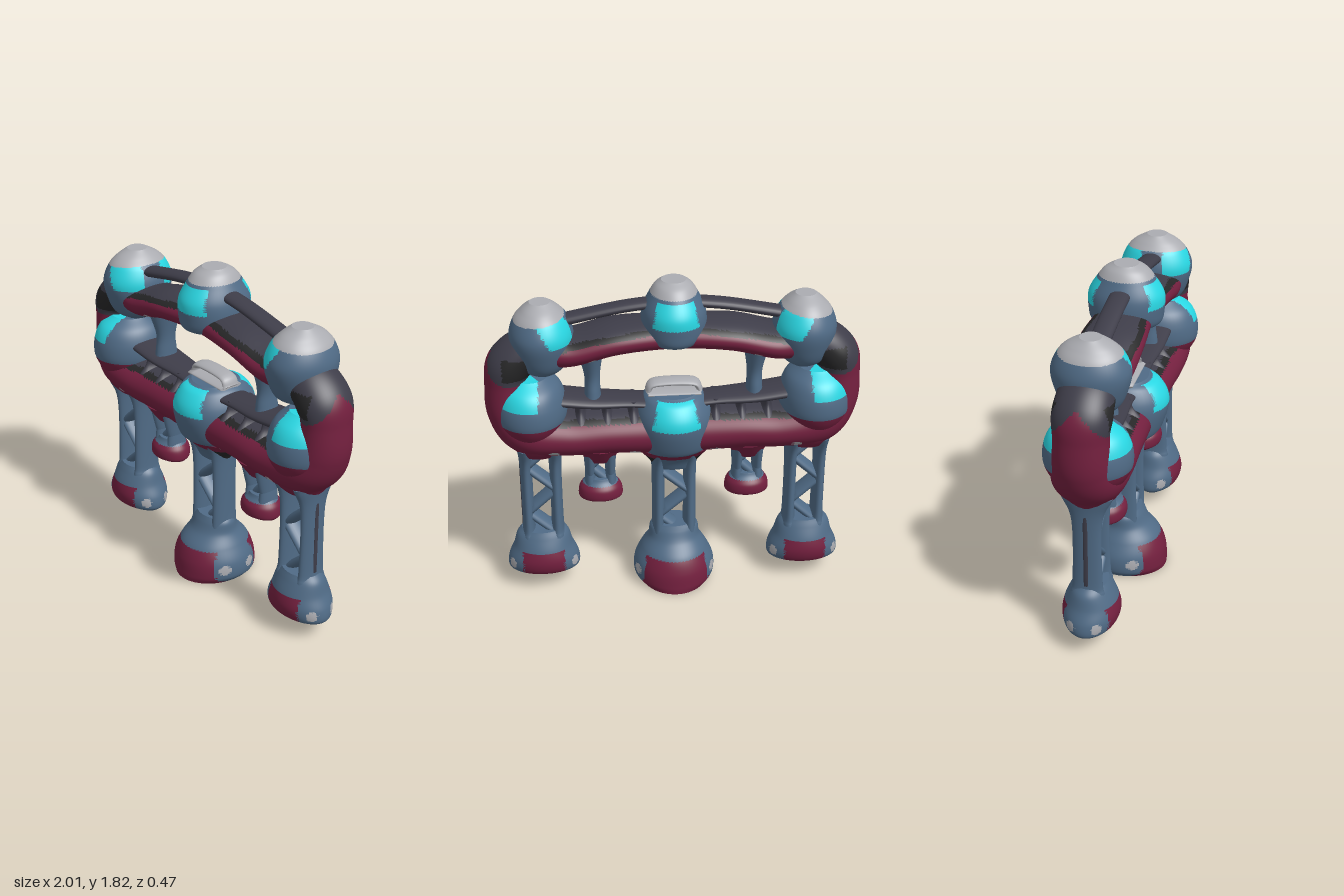
import * as THREE from 'three';

const mat = (name, color) => {
  const m = new THREE.MeshStandardMaterial({ color });
  m.name = name;
  return m;
};
const red = mat('maroon', 0x74203f), blue = mat('slateBlue', 0x506b86), cyan = mat('cyan', 0x29d6e2);
const pale = mat('paleGrey', 0xabacb1), dark = mat('charcoal', 0x3e3d49), black = mat('black', 0x272728);
const palette = [red, blue, cyan, pale, dark, black];

// Sweeps an ellipse along a path in the xy plane. Each point is [x, y, half width, half depth].
// paint is one material, or a rule (x, y, z) => material applied to each face.
function sweep(parent, name, pts, paint, { closed = false, steps = 6, cols = 24 } = {}) {
  const curve = (f) => new THREE.CatmullRomCurve3(pts.map(f), closed, 'catmullrom', 0.5);
  const path = curve((p) => new THREE.Vector3(p[0], p[1], 0));
  const size = curve((p) => new THREE.Vector3(p[2], p[3], 0));
  const rows = (closed ? pts.length : pts.length - 1) * steps;
  const count = closed ? rows : rows + 1;
  const pos = [], index = [];
  for (let i = 0; i < count; i++) {
    const c = path.getPoint(i / rows), t = path.getTangent(i / rows), s = size.getPoint(i / rows);
    for (let j = 0; j < cols; j++) {
      const a = (j / cols) * Math.PI * 2, w = Math.cos(a) * s.x;
      pos.push(c.x + t.y * w, c.y - t.x * w, -Math.sin(a) * s.y);
    }
  }
  for (let i = 0; i < rows; i++) {
    const k = i * cols, n = ((i + 1) % count) * cols;
    for (let j = 0; j < cols; j++) {
      const j2 = (j + 1) % cols;
      index.push(k + j, k + j2, n + j2, k + j, n + j2, n + j);
    }
  }
  // flat end caps
  if (!closed) for (const [row, p] of [[0, pts[0]], [rows, pts[pts.length - 1]]]) {
    const base = pos.length / 3;
    pos.push(...pos.slice(row * cols * 3, (row + 1) * cols * 3), p[0], p[1], 0);
    for (let j = 0; j < cols; j++) {
      const a = base + j, b = base + ((j + 1) % cols);
      index.push(base + cols, ...(row ? [a, b] : [b, a]));
    }
  }
  const geo = new THREE.BufferGeometry();
  geo.setAttribute('position', new THREE.Float32BufferAttribute(pos, 3));
  let material = paint;
  if (typeof paint === 'function') {
    const bins = palette.map(() => []);
    for (let f = 0; f < index.length; f += 3) {
      const tri = index.slice(f, f + 3);
      const mid = (k) => tri.reduce((sum, v) => sum + pos[v * 3 + k], 0) / 3;
      bins[palette.indexOf(paint(mid(0), mid(1), mid(2)))].push(...tri);
    }
    geo.setIndex(bins.flat());
    let start = 0;
    bins.forEach((b, k) => {
      if (b.length) geo.addGroup(start, b.length, k);
      start += b.length;
    });
    material = palette;
  } else geo.setIndex(index);
  geo.computeVertexNormals();
  const mesh = new THREE.Mesh(geo, material);
  mesh.name = name;
  parent.add(mesh);
}

// Upright body from [y, half width, half depth] levels
const stack = (parent, name, x, levels, paint, opt) =>
  sweep(parent, name, levels.map(([y, w, d]) => [x, y, w, d]), paint, opt);

// Two columns with zigzag bracing
function leg(parent, x, y0, y1, half, bays, r, depth) {
  for (const s of [-1, 1]) {
    stack(parent, 'legColumn', x + s * half,
      [[y0, r * 1.3, depth * 1.15], [y0 + 0.08, r, depth], [y1 - 0.15, r, depth], [y1, r * 1.4, depth * 1.7]], blue);
  }
  const h = (y1 - y0) / bays;
  for (let i = 0; i < bays; i++) {
    const s = i % 2 ? -1 : 1;
    sweep(parent, 'legBrace',
      [[x - s * half, y0 + i * h, 0.027, depth * 0.75], [x + s * half, y0 + (i + 1) * h, 0.027, depth * 0.75]], blue, { steps: 4 });
  }
}

export function createModel() {
  const model = new THREE.Group();
  model.name = 'platform';
  const fine = { steps: 14, cols: 56 };

  // Closed ring: lower beam, rounded ends and upper beam
  const half = [[0.35, 0.965, 0.125, 0.175], [0.58, 0.965, 0.125, 0.185], [0.78, 1.0, 0.145, 0.185], [0.86, 1.12, 0.14, 0.155],
    [0.885, 1.27, 0.115, 0.14], [0.86, 1.38, 0.12, 0.15], [0.74, 1.465, 0.11, 0.145], [0.54, 1.46, 0.088, 0.165], [0.3, 1.515, 0.083, 0.17]];
  const ring = [[0, 0.955, 0.13, 0.165], ...half, [0, 1.53, 0.08, 0.15],
    ...half.slice().reverse().map(([x, y, w, d]) => [-x, y, w, d])];
  const studs = [[0.43, 1.43, 0.12], [0.65, 0.9, 0.16], [0.22, 0.87, 0.12], [0.22, 1.46, 0.11]];
  sweep(model, 'mainRing', ring, (x, y, z) => {
    const ax = Math.abs(x), az = Math.abs(z);
    if (studs.some(([a, b, c]) => Math.hypot(ax - a, y - b, az - c) < 0.026)) return pale;
    if (ax > 0.68 && y < 1.3) return red;
    if (ax > 0.72) {
      if (ax > 0.76 && ax < 0.9 && y > 1.33 && y < 1.45) return black;
      return ax > 0.9 && y < 1.32 + 0.14 * (1 - az / 0.13) ? red : dark;
    }
    const edge = y > 1.3 ? 1.59 - 0.23 * ax * ax : 1.07;
    return y > edge ? dark : y > edge - 0.022 ? black : red;
  }, { closed: true, steps: 12, cols: 64 });

  // Upper centre tower
  stack(model, 'upperCentreTower', 0,
    [[1.48, 0.11, 0.13], [1.51, 0.15, 0.185], [1.57, 0.172, 0.2], [1.66, 0.165, 0.2], [1.74, 0.13, 0.155], [1.79, 0.1, 0.115], [1.82, 0.065, 0.065]],
    (x, y, z) => y > 1.755 ? pale
      : y > 1.61 && y < 1.74 && Math.abs(x) < 0.12 - (y - 1.61) * 0.2 && Math.abs(z) > 0.05 ? cyan : blue, fine);

  // Lower centre housing and its handle
  stack(model, 'lowerCentreHousing', 0,
    [[0.84, 0.17, 0.145], [0.88, 0.2, 0.19], [1.0, 0.212, 0.228], [1.08, 0.2, 0.225], [1.15, 0.165, 0.18], [1.18, 0.13, 0.12]],
    (x, y, z) => y < 0.86 ? red
      : y > 1.035 && y < 1.172 && Math.abs(x) < 0.13 - (y - 1.03) * 0.25 && Math.abs(z) > 0.05 ? cyan : blue, fine);
  sweep(model, 'handleBase', [[-0.14, 1.18, 0.015, 0.07], [0.14, 1.18, 0.015, 0.07]], pale);
  sweep(model, 'handle', [[-0.14, 1.18, 0.018, 0.05], [-0.1, 1.228, 0.018, 0.05], [0.1, 1.228, 0.018, 0.05], [0.14, 1.18, 0.018, 0.05]], pale);

  // Centre leg, its bracket and foot
  stack(model, 'centreLegBracket', 0, [[0.72, 0.11, 0.07], [0.78, 0.15, 0.1], [0.86, 0.22, 0.16]],
    (x, y) => y > 0.81 ? red : Math.abs(x) > 0.1 ? black : blue, { steps: 10, cols: 40 });
  leg(model, 0, 0.26, 0.86, 0.087, 4, 0.036, 0.08);
  stack(model, 'centreFoot', 0,
    [[0, 0.195, 0.232], [0.04, 0.225, 0.232], [0.12, 0.222, 0.222], [0.2, 0.185, 0.19], [0.27, 0.145, 0.13], [0.33, 0.135, 0.1], [0.36, 0.115, 0.085]],
    (x, y, z) => y < 0.192 && Math.abs(x) < 0.19 - y * 0.15 ? red
      : Math.hypot(Math.abs(x) - 0.205, y - 0.09, Math.abs(z) - 0.085) < 0.032 ? pale : blue, fine);

  for (const s of [-1, 1]) {
    const side = new THREE.Group();
    side.name = s > 0 ? 'leftSide' : 'rightSide';
    model.add(side);
    const line = (name, pts, paint, opt) => sweep(side, name, pts.map(([x, y, w, d]) => [s * x, y, w, d]), paint, opt);

    // Corner towers above and below the gap
    stack(side, 'upperCornerTower', s * 0.69,
      [[1.32, 0.06, 0.07], [1.37, 0.12, 0.145], [1.46, 0.158, 0.185], [1.55, 0.168, 0.2], [1.63, 0.142, 0.17], [1.68, 0.1, 0.125], [1.72, 0.055, 0.055]],
      (x, y, z) => {
        const ax = Math.abs(x);
        if (y > 1.652 - (ax - 0.6) * 0.1) return pale;
        return y > 1.525 && ax < 0.7 - (1.62 - y) * 0.6 && Math.abs(z) > 0.06 ? cyan : blue;
      }, fine);
    stack(side, 'lowerCornerTower', s * 0.765,
      [[0.97, 0.14, 0.17], [1.04, 0.18, 0.212], [1.1, 0.195, 0.228], [1.18, 0.188, 0.22], [1.25, 0.16, 0.185], [1.305, 0.1, 0.11]],
      (x, y, z) => {
        const ax = Math.abs(x);
        return y < 1.07 ? red : y > 1.18 && ax > 0.72 && ax < 0.91 && Math.abs(z) > 0.06 ? cyan : blue;
      }, fine);

    // Upper and lower railings with posts
    line('upperRail', [[0.1, 1.695, 0.028, 0.055], [0.3, 1.67, 0.028, 0.055], [0.6, 1.61, 0.03, 0.055]], dark);
    line('lowerRail', [[0.12, 1.125, 0.026, 0.09], [0.25, 1.135, 0.028, 0.09], [0.43, 1.145, 0.034, 0.105], [0.62, 1.17, 0.036, 0.11]], dark);
    for (const x of [0.22, 0.36, 0.5]) line('railPost', [[x, 1.05, 0.05, 0.13], [x, 1.1, 0.026, 0.09], [x, 1.15, 0.03, 0.08]], dark);

    // Strut joining the two beams
    line('beamStrut', [[0.435, 1.12, 0.05, 0.075], [0.433, 1.2, 0.043, 0.065], [0.433, 1.3, 0.043, 0.06], [0.44, 1.46, 0.075, 0.11]], blue);

    // Corner leg with a dark outer seam, bracket and foot
    stack(side, 'cornerLegBracket', s * 0.73, [[0.84, 0.115, 0.1], [0.88, 0.14, 0.14], [0.93, 0.18, 0.17]], red);
    leg(side, s * 0.73, 0.32, 0.9, 0.08, 4, 0.034, 0.08);
    line('legSeam', [[0.842, 0.38, 0.004, 0.012], [0.842, 0.86, 0.004, 0.012]], dark);
    stack(side, 'cornerFoot', s * 0.735,
      [[0.09, 0.17, 0.09], [0.12, 0.2, 0.135], [0.18, 0.195, 0.152], [0.25, 0.165, 0.14], [0.32, 0.145, 0.11], [0.36, 0.115, 0.09]],
      (x, y, z) => {
        const dx = Math.abs(Math.abs(x) - 0.735);
        return y < 0.25 && dx < 0.115 ? red : Math.hypot(dx - 0.175, y - 0.16, Math.abs(z) - 0.07) < 0.03 ? pale : blue;
      }, fine);

    // Short leg, bracket and foot
    stack(side, 'shortLegBracket', s * 0.405, [[0.78, 0.08, 0.07], [0.82, 0.1, 0.1], [0.88, 0.14, 0.14]], red);
    leg(side, s * 0.405, 0.63, 0.84, 0.055, 2, 0.026, 0.055);
    stack(side, 'shortFoot', s * 0.405,
      [[0.54, 0.11, 0.075], [0.56, 0.122, 0.1], [0.61, 0.115, 0.1], [0.65, 0.085, 0.07], [0.67, 0.075, 0.06]],
      (x, y) => y < 0.635 ? red : blue, { steps: 8, cols: 40 });
  }
  return model;
}
